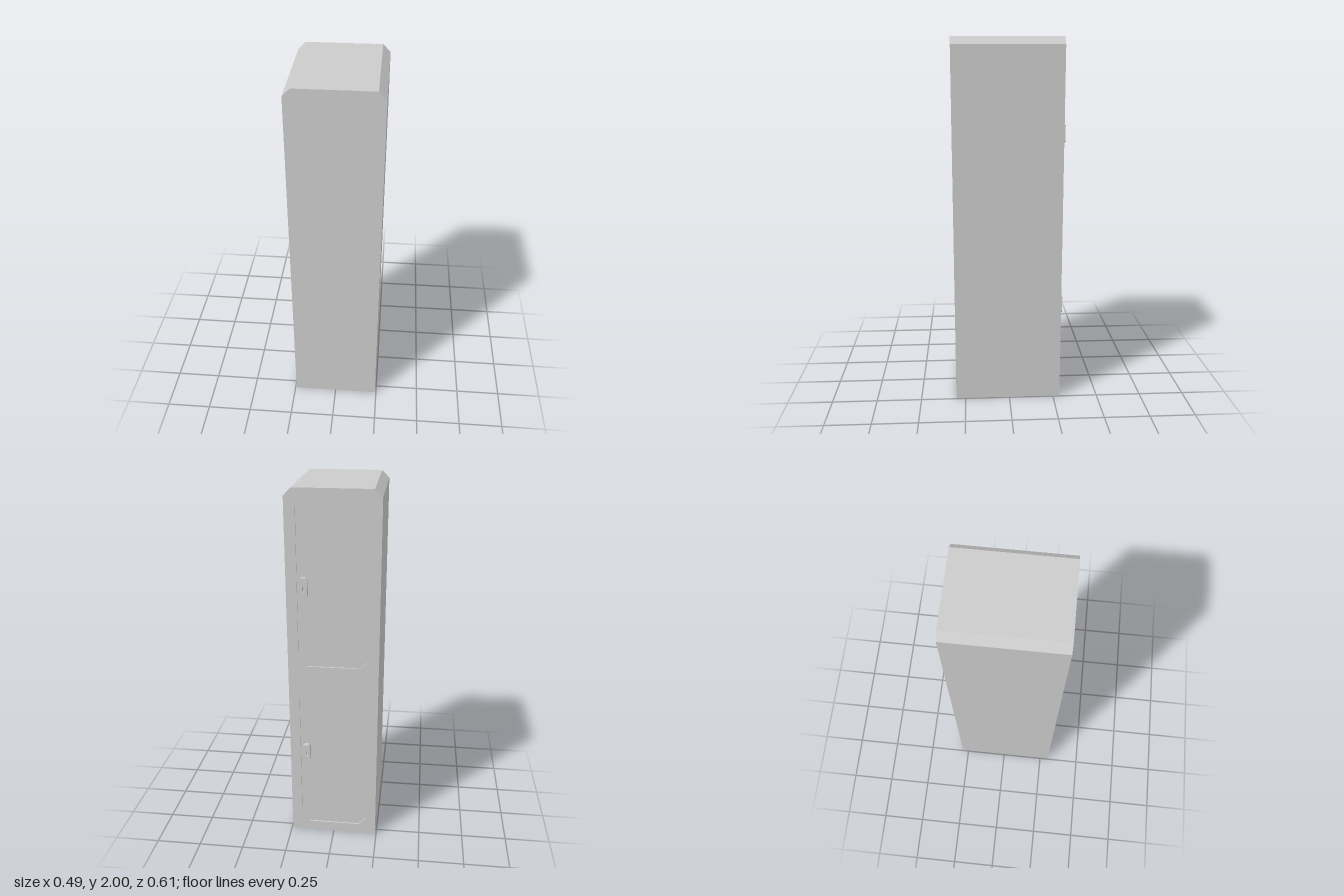
import * as THREE from 'three';

const BACK = -0.288;    // outer face on the door side
const FRONT = 0.302;
const RECESS = 0.008;   // depth of the door panels
const material = new THREE.MeshStandardMaterial({ color: 0xcccccc, flatShading: true });

// Rectangle with cut corners; bottom and top cuts can differ
function cutRect(x0, x1, y0, y1, bottom, top) {
  const points = [
    [x0 + bottom, y0], [x1 - bottom, y0], [x1, y0 + bottom], [x1, y1 - top],
    [x1 - top, y1], [x0 + top, y1], [x0, y1 - top], [x0, y0 + bottom],
  ].map(([x, y]) => new THREE.Vector2(x, y));
  return points.filter((p, i) => !p.equals(points[(i + 1) % points.length]));
}

function slab(name, outline, holes, z0, z1) {
  const shape = new THREE.Shape(outline);
  for (const hole of holes) shape.holes.push(new THREE.Path(hole));
  const geometry = new THREE.ExtrudeGeometry(shape, { depth: z1 - z0, bevelEnabled: false });
  geometry.translate(0, 0, z0);
  const mesh = new THREE.Mesh(geometry, material);
  mesh.name = name;
  return mesh;
}

export function createModel() {
  const model = new THREE.Group();
  model.name = 'locker';

  // Cabinet with sloped top edges; its back face forms the door panels
  const outline = cutRect(-0.243, 0.243, 0, 2, 0, 0.04);
  model.add(slab('cabinet', outline, [], BACK + RECESS, FRONT));

  // Thin frame around the two recessed doors
  const doors = [0.058, 1.058].map((y) => cutRect(-0.186, 0.186, y, y + 0.887, 0.04, 0.04));
  model.add(slab('doorFrame', outline, doors, BACK, BACK + RECESS));

  // Lock plates, each with a small keyhole slot
  for (const y of [0.53, 1.5]) {
    const plate = cutRect(0.13, 0.169, y - 0.051, y + 0.051, 0.008, 0.008);
    const keyhole = cutRect(0.144, 0.155, y - 0.022, y + 0.01, 0.003, 0.003);
    model.add(slab('lockPlate', plate, [keyhole], -0.304, BACK + RECESS));
  }
  return model;
}
